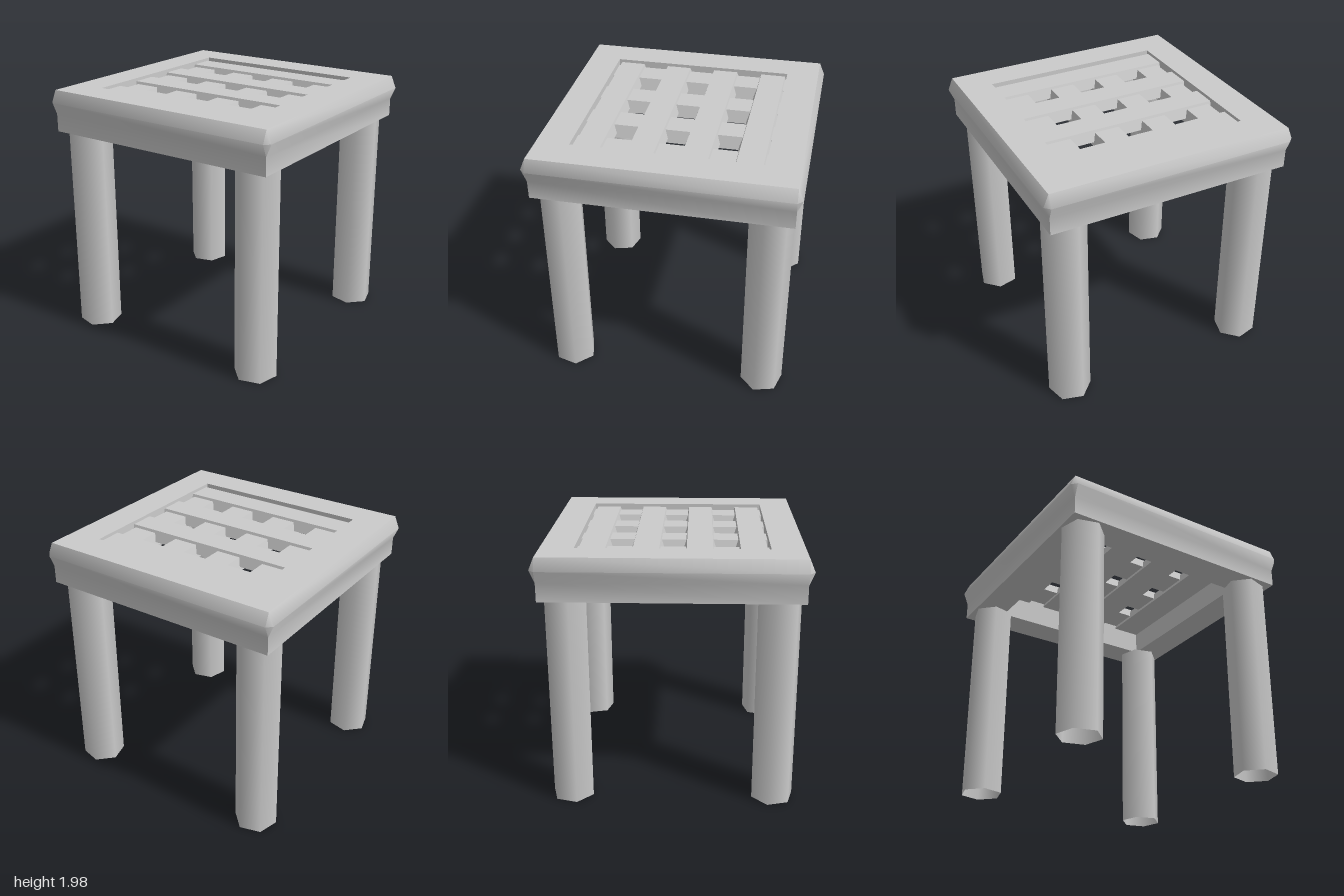
import * as THREE from 'three';
import { toCreasedNormals } from 'three/addons/utils/BufferGeometryUtils.js';

const material = new THREE.MeshStandardMaterial({ color: 0xcccccc });
const openMaterial = new THREE.MeshStandardMaterial({ color: 0xcccccc, side: THREE.DoubleSide });

// Square frame swept from a profile of [a, b, y]; a != b gives a chamfered corner.
function frameGeometry(profile) {
  const rings = profile.map(([a, b, y]) => {
    const ring = [];
    for (let k = 0; k < 4; k++) {
      const c = Math.round(Math.cos(k * Math.PI / 2)), s = Math.round(Math.sin(k * Math.PI / 2));
      for (const [x, z] of [[a, b], [b, a]]) {
        ring.push(new THREE.Vector3(x * c - z * s, y, x * s + z * c));
      }
    }
    return ring;
  });
  const points = [];
  const addTriangle = (p, q, r) => {
    if (!p.equals(q) && !q.equals(r) && !r.equals(p)) points.push(p, q, r);
  };
  rings.forEach((low, j) => {
    const high = rings[(j + 1) % rings.length];
    for (let i = 0; i < 8; i++) {
      const n = (i + 1) % 8;
      addTriangle(low[i], high[i], high[n]);
      addTriangle(low[i], high[n], low[n]);
    }
  });
  return toCreasedNormals(new THREE.BufferGeometry().setFromPoints(points), 0.9);
}

// Long bar along x with a cross-section that widens downwards.
function slatGeometry(bottom, top) {
  const half = 0.71;
  const shape = new THREE.Shape([
    new THREE.Vector2(-0.125, bottom), new THREE.Vector2(0.125, bottom),
    new THREE.Vector2(0.097, top), new THREE.Vector2(-0.097, top),
  ]);
  return new THREE.ExtrudeGeometry(shape, { depth: 2 * half, bevelEnabled: false })
    .translate(0, 0, -half).rotateY(Math.PI / 2);
}

export function createModel() {
  const model = new THREE.Group();
  model.name = 'table';
  const add = (name, geometry, mat = material) => {
    const mesh = new THREE.Mesh(geometry, mat);
    mesh.name = name;
    model.add(mesh);
    return mesh;
  };

  // Table top frame: straight skirt below a pointed, rounded-looking edge
  add('topFrame', frameGeometry([
    [0.96, 0.96, 1.65], [0.96, 0.96, 1.79], [1, 0.96, 1.885],
    [0.96, 0.96, 1.98], [0.71, 0.71, 1.98], [0.71, 0.71, 1.65],
  ]));

  // Lattice: upper slats run along x, cross slats lie slightly lower along z
  const upper = slatGeometry(1.87, 1.955);
  const lower = slatGeometry(1.84, 1.935);
  for (let i = 0; i < 4; i++) {
    const offset = (i - 1.5) * 0.395;
    add('upperSlat', upper).position.z = offset;
    const cross = add('crossSlat', lower);
    cross.rotation.y = Math.PI / 2;
    cross.position.x = offset;
  }

  // Four hollow hexagonal legs, each with one edge facing outward on the diagonal
  const leg = new THREE.CylinderGeometry(0.167, 0.167, 1.65, 6, 1, true);
  for (const x of [-1, 1]) {
    for (const z of [-1, 1]) {
      const mesh = add((z > 0 ? 'front' : 'back') + (x > 0 ? 'Left' : 'Right') + 'Leg', leg, openMaterial);
      mesh.position.set(x * 0.782, 0.825, z * 0.782);
      mesh.rotation.y = Math.atan2(x, z);
    }
  }
  return model;
}
